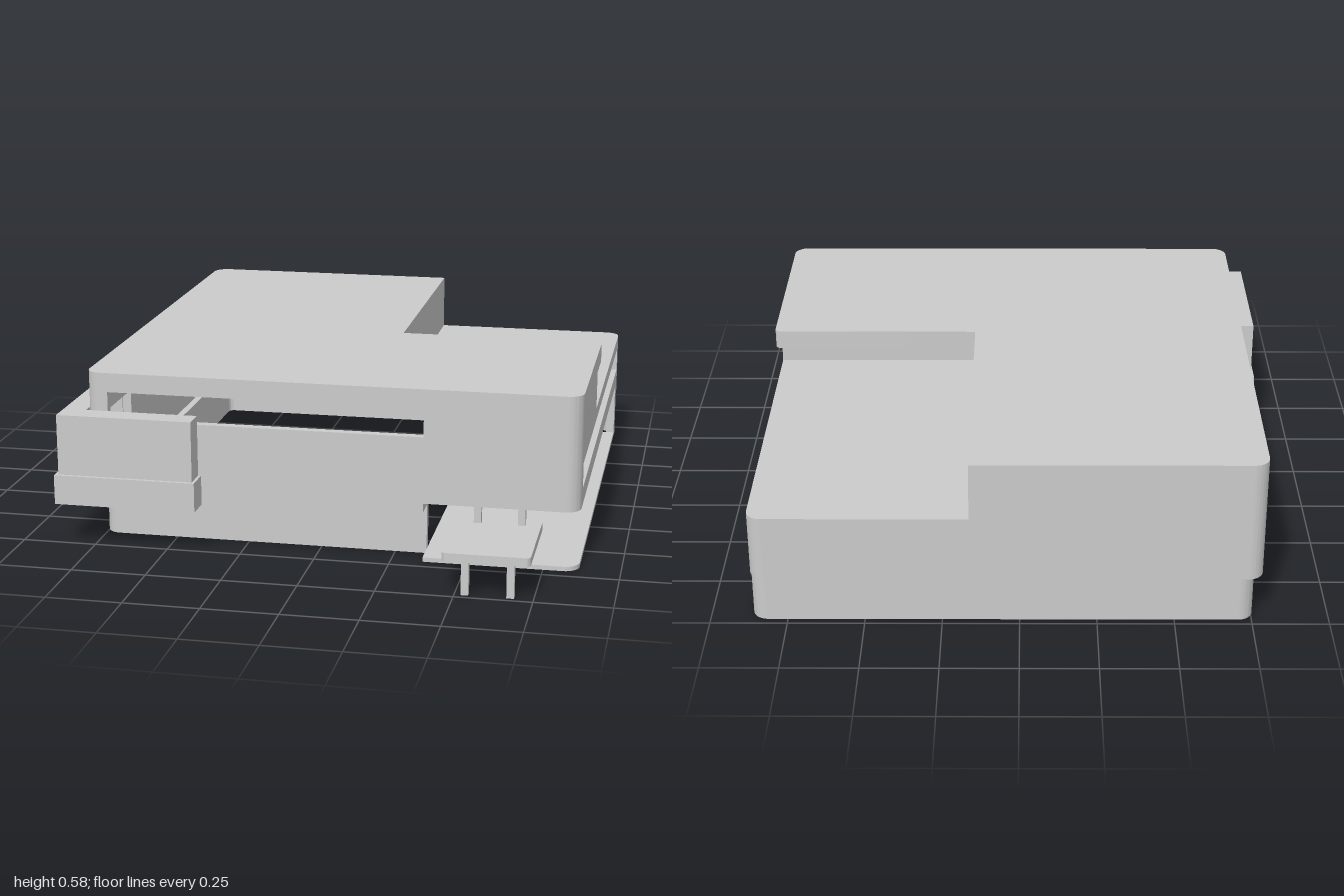
import * as THREE from 'three';
import { toCreasedNormals } from 'three/addons/utils/BufferGeometryUtils.js';

const T = 0.03; // wall thickness
const R = 0.05; // corner radius
const UP = { x0: -0.78, x1: 0.865, z0: -1, z1: 0.705 }; // upper storey footprint
const LOW = { x0: -0.755, x1: 0.865, z0: -0.975, z1: 0.62 }; // lower storey footprint

const material = new THREE.MeshStandardMaterial({ color: 0xcccccc });

export function createModel() {
  const group = new THREE.Group();

  const add = (name, geometry) => {
    const mesh = new THREE.Mesh(toCreasedNormals(geometry, 0.6), material);
    mesh.name = name;
    group.add(mesh);
  };
  const box = (name, x0, x1, y0, y1, z0, z1) =>
    add(name, new THREE.BoxGeometry(x1 - x0, y1 - y0, z1 - z0)
      .translate((x0 + x1) / 2, (y0 + y1) / 2, (z0 + z1) / 2));
  const polygon = (points, hole) => {
    const shape = new THREE.Shape(points.map(p => new THREE.Vector2(...p)));
    if (hole) {
      const [a0, a1, b0, b1] = hole;
      shape.holes.push(new THREE.Path([[a0, b0], [a0, b1], [a1, b1], [a1, b0]].map(p => new THREE.Vector2(...p))));
    }
    return shape;
  };
  const extrude = (shape, depth) =>
    new THREE.ExtrudeGeometry(shape, { depth, bevelEnabled: false, curveSegments: 10 });
  // Horizontal plate; the shape is drawn in (x, -z)
  const plate = (name, shape, y0, y1) =>
    add(name, extrude(shape, y1 - y0).rotateX(-Math.PI / 2).translate(0, y0, 0));
  // Wall across x, drawn in (x, y), from zBack forward
  const crossWall = (name, zBack, points, hole) =>
    add(name, extrude(polygon(points, hole), T).translate(0, 0, zBack));
  // Wall along z, drawn in (z, y), from xRight inward
  const sideWall = (name, xRight, points, hole) =>
    add(name, extrude(polygon(points, hole), T).rotateY(-Math.PI / 2).translate(xRight, 0, 0));
  // Quarter-round wall corner; sx, sz pick which corner
  const corner = (name, f, sx, sz, y0, y1) => {
    const cx = sx > 0 ? f.x1 - R : f.x0 + R;
    const cy = -(sz > 0 ? f.z1 - R : f.z0 + R);
    const a = Math.atan2(-sz, sx) - Math.PI / 4;
    const s = new THREE.Shape();
    s.absarc(cx, cy, R, a, a + Math.PI / 2, false);
    s.absarc(cx, cy, R - T, a + Math.PI / 2, a, true);
    s.closePath();
    plate(name, s, y0, y1);
  };
  // Polygon in (x, z) with a radius per corner
  const rounded = points => {
    const s = new THREE.Shape();
    points.forEach(([x, z, r = 0], i) => {
      const p = new THREE.Vector2(x, -z);
      const toward = q => new THREE.Vector2(q[0], -q[1]).sub(p).setLength(r).add(p);
      const a = toward(points[(i + points.length - 1) % points.length]);
      const b = toward(points[(i + 1) % points.length]);
      i ? s.lineTo(a.x, a.y) : s.moveTo(a.x, a.y);
      if (r) {
        const d1 = p.clone().sub(a), d2 = b.clone().sub(p);
        const c = a.clone().add(d2);
        const from = Math.atan2(-d2.y, -d2.x), to = Math.atan2(d1.y, d1.x);
        s.absarc(c.x, c.y, r, from, to, d1.cross(d2) < 0);
      }
    });
    s.closePath();
    return s;
  };

  // Roofs
  const { x0, x1, z0, z1 } = UP;
  const high = 0.585, low = 0.39, top = high - T, lowTop = low - T;
  plate('highRoof', rounded([[x0, z1, R], [x1, z1, R], [x1, -0.04, 0.02], [0.16, -0.04], [0.16, z0], [x0, z0, R]]), top, high);
  plate('roofOverhang', rounded([[0.16, 0.13], [x1, 0.13], [x1, -0.04, 0.02], [0.16, -0.04]]), 0.52, top);
  plate('terrace', rounded([[0.13, 0.16], [x1, 0.16], [x1, z0, R], [0.13, z0]]), lowTop, low);
  box('terraceSideWall', 0.16 - T, 0.16, low, top, z0, 0.13);
  box('terraceFrontWall', 0.16 - T, x1, low, top, 0.13, 0.13 + T);

  // Upper storey walls with window slots and openings for the corner bay
  const bayX = -0.43, bayZ = 0.31, bayLo = 0.19, bayHi = 0.42;
  crossWall('upperFrontWall', z1 - T, [
    [x0 + R, 0.17], [0.355, 0.17], [0.355, 0.2], [x1 - R, 0.2], [x1 - R, top], [x0 + R, top],
    [x0 + R, bayHi], [bayX, bayHi], [bayX, bayLo], [x0 + R, bayLo],
  ], [-0.705, 0.355, 0.425, 0.52]);
  sideWall('upperLeftHandWall', x1, [
    [z1 - R, 0.2], [z1 - R, top], [0.13, top], [0.13, lowTop], [z0 + R, lowTop],
    [z0 + R, 0.17], [-0.87, 0.17], [-0.87, 0.2],
  ], [-0.92, 0.625, 0.26, 0.345]);
  sideWall('upperRightHandWall', x0 + T, [
    [z0 + R, 0.17], [z1 - R, 0.17], [z1 - R, bayLo], [bayZ, bayLo],
    [bayZ, bayHi], [z1 - R, bayHi], [z1 - R, top], [z0 + R, top],
  ]);
  crossWall('upperBackWall', z0, [
    [x0 + R, 0.17], [x1 - R, 0.17], [x1 - R, lowTop], [0.16, lowTop], [0.16, top], [x0 + R, top],
  ]);
  corner('upperCorner', UP, 1, 1, 0.2, top);
  corner('upperCorner', UP, 1, -1, 0.17, lowTop);
  corner('upperCorner', UP, -1, -1, 0.17, top);
  corner('upperCorner', UP, -1, 1, 0.17, bayLo);
  corner('upperCorner', UP, -1, 1, bayHi, top);

  // Lower storey, open along one side and at that end of the front
  const L = LOW, y = 0.17;
  box('lowerFrontWall', L.x0 + R, 0.355, 0, y, L.z1 - T, L.z1);
  box('lowerRightHandWall', L.x0, L.x0 + T, 0, y, L.z0 + R, L.z1 - R);
  box('lowerBackWall', L.x0 + R, L.x1 - R, 0, y, L.z0, L.z0 + T);
  box('lowerLeftHandWall', L.x1 - T, L.x1, 0, y, L.z0 + R, -0.87);
  corner('lowerCorner', L, -1, 1, 0, y);
  corner('lowerCorner', L, -1, -1, 0, y);
  corner('lowerCorner', L, 1, -1, 0, y);
  box('frontSoffit', L.x0, 0.355, y, y + 0.02, L.z1 - T, z1 - 0.02);
  plate('groundPlate', rounded([[0.355, z1], [x1, z1, R], [x1, -0.87], [0.355, -0.87]]), 0, 0.015);

  // Hollow bay wrapped around the front corner
  const bayPlate = (name, xo, zo, xe, ze, y0, y1) =>
    plate(name, rounded([[xo, zo], [xe, zo], [xe, z1 - T], [x0 + T, z1 - T], [x0 + T, ze], [xo, ze]]), y0, y1);
  const bayWall = (name, xo, zo, xe, ze, y0, y1) =>
    plate(name, rounded([
      [xo, zo], [xe, zo], [xe, z1], [xe - T, z1], [xe - T, zo - T], [xo + T, zo - T],
      [xo + T, ze + T], [x0, ze + T], [x0, ze], [xo, ze],
    ]), y0, y1);
  const band = [-0.87, 0.795, -0.39, 0.27], body = [-0.858, 0.783, -0.4, 0.285];
  plate('bayFloor', rounded([[-0.87, 0.795], [-0.39, 0.795], [-0.39, z1], [x0, z1], [x0, 0.27], [-0.87, 0.27]]), 0.15, 0.18);
  bayWall('bayBand', ...band, 0.18, 0.25);
  bayWall('bayWall', ...body, 0.25, 0.435);
  plate('bayRoof', rounded([[-0.858, 0.783], [-0.4, 0.783], [-0.4, z1], [x0, z1], [x0, 0.285], [-0.858, 0.285]]), 0.435, 0.455);

  // Entrance deck on four posts
  plate('deck', rounded([[0.46, 1, 0.015], [0.74, 1, 0.015], [0.74, 0.64, 0.015], [0.46, 0.64, 0.015]]), 0.115, 0.143);
  for (const x of [0.533, 0.677]) {
    box('frontDeckPost', x - 0.012, x + 0.012, 0, 0.115, 0.958, 0.982);
    box('rearDeckPost', x - 0.012, x + 0.012, 0.015, 0.2, 0.673, 0.697);
  }
  return group;
}
